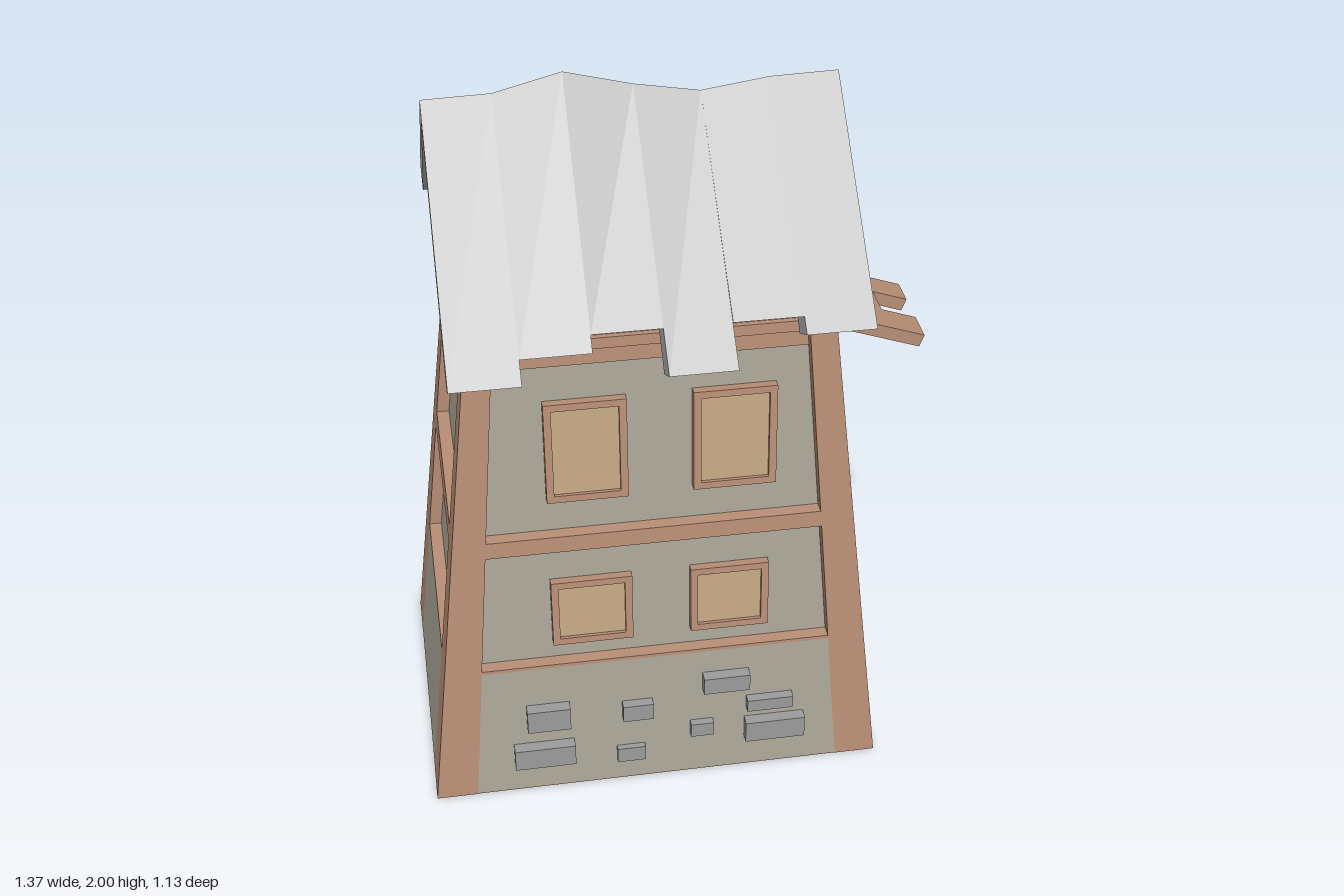
import * as THREE from 'three';

const mat = (color) => new THREE.MeshStandardMaterial({ color, flatShading: true });

export function createModel() {
  const root = new THREE.Group();
  const wood = mat(0xb98f76), wall = mat(0xaba899), tan = mat(0xc4a884);
  const roofGrey = mat(0xb8b8b8), stone = mat(0x9c9c9c);

  const add = (name, geo, material, parent = root) => {
    const m = new THREE.Mesh(geo, material);
    m.name = name;
    parent.add(m);
    return m;
  };
  // Box whose corners are moved by fn(sx, sy, sz), each sign being -1 or 1
  const warpBox = (fn) => {
    const g = new THREE.BoxGeometry(2, 2, 2);
    const p = g.attributes.position;
    for (let i = 0; i < p.count; i++) p.setXYZ(i, ...fn(p.getX(i), p.getY(i), p.getZ(i)));
    g.computeVertexNormals();
    return g;
  };
  const box = (w, h, d, x, y, z) => new THREE.BoxGeometry(w, h, d).translate(x, y, z);

  // Tapering tower: outer faces and corner post widths at height y
  const H = 1.43;
  const at = (a, b, y) => a + (b - a) * y / H;
  const L = (y) => at(-0.685, -0.5225, y), R = (y) => at(0.58, 0.4175, y);
  const F = (y) => at(0.435, 0.325, y), B = (y) => at(-0.415, -0.305, y);
  const pw = (y) => at(0.115, 0.07, y), pd = (y) => at(0.13, 0.075, y);
  const inset = 0.035;
  // Block between two heights, rect(y) giving [x0, x1, z0, z1]
  const block = (name, y0, y1, rect, material) => add(name, warpBox((sx, sy, sz) => {
    const y = sy < 0 ? y0 : y1, r = rect(y);
    return [sx < 0 ? r[0] : r[1], y, sz < 0 ? r[2] : r[3]];
  }), material);

  block('recessedWalls', 0.004, 1.41, (y) => [L(y) + inset, R(y) - inset, B(y) + inset, F(y) - inset], wall);
  block('floor', 0, 0.006, (y) => [L(y) + 0.001, R(y) - 0.034, B(y) + 0.001, F(y) - 0.001], wood);
  block('topPlate', 1.4, H, (y) => [L(y), R(y), B(y), F(y)], wood);

  // Corner posts
  for (const right of [false, true]) for (const front of [false, true]) {
    block('cornerPost', 0, 1.4, (y) => [
      right ? R(y) - pw(y) : L(y), right ? R(y) : L(y) + pw(y),
      front ? F(y) - pd(y) : B(y), front ? F(y) : B(y) + pd(y)], wood);
  }

  // Strips between the posts on each side
  const sides = {
    front: (y) => [L(y) + pw(y), R(y) - pw(y), F(y) - 0.05, F(y)],
    back: (y) => [L(y) + pw(y), R(y) - pw(y), B(y), B(y) + 0.05],
    left: (y) => [L(y), L(y) + 0.05, B(y) + pd(y), F(y) - pd(y)],
    right: (y) => [R(y) - 0.05, R(y), B(y) + pd(y), F(y) - pd(y)],
  };
  for (const [side, rect] of Object.entries(sides)) {
    block('middleBeam', 0.8, 0.848, rect, wood);
    if (side === 'right') continue;
    block('plinth', 0.004, 0.42, rect, wall);
    block('plinthLedge', 0.42, 0.43, rect, wood);
  }
  // Boards under the top plate, front and back
  block('frontTopBoard', 1.34, 1.4, (y) => [L(y) + pw(y), R(y) - pw(y), F(y) - 0.05, F(y) - 0.031], wood);
  block('backTopBoard', 1.34, 1.4, (y) => [L(y) + pw(y), R(y) - pw(y), B(y) + 0.031, B(y) + 0.05], wood);

  // Framed opening, built facing +z, then turned and leaned with the wall
  const framed = (name, w, h, t, pane) => {
    const g = new THREE.Group();
    g.name = name;
    for (const s of [-1, 1]) {
      add('frameSide', box(t, h, 0.05, s * (w - t) / 2, 0, 0), wood, g);
      add('frameRail', box(w - 2 * t, t, 0.05, 0, s * (h - t) / 2, 0), wood, g);
    }
    add('pane', box(w - 2 * t, h - 2 * t, 0.03, 0, 0, 0), pane, g);
    root.add(g);
    return g;
  };
  const place = (g, x, y, z, turn, lean) => {
    g.position.set(x, y, z);
    g.rotation.set(-lean, turn, 0, 'YXZ');
  };
  for (const s of [1, -1]) {
    for (const [x, y, w, h] of [[-0.227, 1.093, 0.215, 0.295], [0.163, 1.093, 0.22, 0.295],
      [-0.225, 0.587, 0.22, 0.205], [0.152, 0.587, 0.215, 0.205]]) {
      const z = s > 0 ? F(y) - inset : B(y) + inset;
      place(framed('window', w, h, 0.02, tan), x, y, z, s > 0 ? 0 : Math.PI, 0.077);
    }
  }
  place(framed('sideWindow', 0.225, 0.295, 0.02, tan), R(1.093) - inset, 1.093, 0.003, Math.PI / 2, 0.113);
  place(framed('door', 0.25, 0.57, 0.017, tan), R(0.292) - inset, 0.292, -0.005, Math.PI / 2, 0.113);
  place(framed('gableWindow', 0.22, 0.2, 0.02, wall), 0.4, 1.6, 0.01, Math.PI / 2, 0);

  // Loose stones, the same on front and back: x, y, width, height, how far out
  for (const [x, y, w, h, out] of [[-0.36, 0.26, 0.12, 0.075, 0.03], [-0.375, 0.13, 0.17, 0.07, 0.03],
    [-0.11, 0.25, 0.085, 0.055, 0.025], [0.14, 0.32, 0.13, 0.055, 0.03], [0.265, 0.23, 0.13, 0.04, 0.025],
    [0.28, 0.14, 0.17, 0.07, 0.03], [0.072, 0.16, 0.065, 0.045, 0.02], [-0.13, 0.095, 0.08, 0.05, 0.015]]) {
    add('frontStone', box(w, h, 0.06, x, y, F(y) + out - 0.03), stone);
    add('backStone', box(w, h, 0.06, x, y, B(y) - out + 0.03), stone);
  }

  // Attic with gable ends
  const gable = new THREE.Shape([[0.31, 1.43], [0.295, 1.62], [0, 1.89], [-0.285, 1.62], [-0.29, 1.43]]
    .map(([z, y]) => new THREE.Vector2(z, y)));
  add('attic', new THREE.ExtrudeGeometry(gable, { depth: 0.9, bevelEnabled: false })
    .rotateY(-Math.PI / 2).translate(0.4, 0, 0), tan);

  // Roof strips with a wavy ridge and uneven eaves
  const xs = [-0.575, -0.4, -0.225, -0.05, 0.12, 0.295, 0.47];
  const ridge = [1.95, 1.955, 2, 1.955, 1.925, 1.95, 1.955];
  const eaves = { 1: [0.56, 0.51, 0.475, 0.565, 0.475, 0.51], '-1': [0.5, 0.475, 0.57, 0.475, 0.53, 0.475] };
  for (const s of [1, -1]) eaves[s].forEach((e, i) => {
    add('roofStrip', warpBox((sx, sy, sz) => {
      const k = sx < 0 ? i : i + 1;
      if (sz !== s) return [xs[k], ridge[k] - (sy < 0 ? 0.06 : 0), 0];
      const y = 1.955 - 0.877 * e;
      return sy < 0 ? [xs[k], y - 0.042, s * (e - 0.074)] : [xs[k], y, s * e];
    }), roofGrey);
  });

  // Broken plank awning over the side window
  const awning = new THREE.Group();
  awning.name = 'awning';
  awning.position.set(0.4, 1.368, 0);
  awning.rotation.z = -0.34;
  root.add(awning);
  for (const [z0, z1, x] of [[-0.21, -0.12, 0.62], [-0.12, -0.035, 0.555], [-0.035, 0.045, 0.685],
    [0.045, 0.135, 0.59], [0.135, 0.225, 0.685]]) {
    const len = (x - 0.406) / Math.cos(0.34);
    add('awningPlank', box(len, 0.036, z1 - z0, len / 2, 0, (z0 + z1) / 2), wood, awning);
  }
  return root;
}
